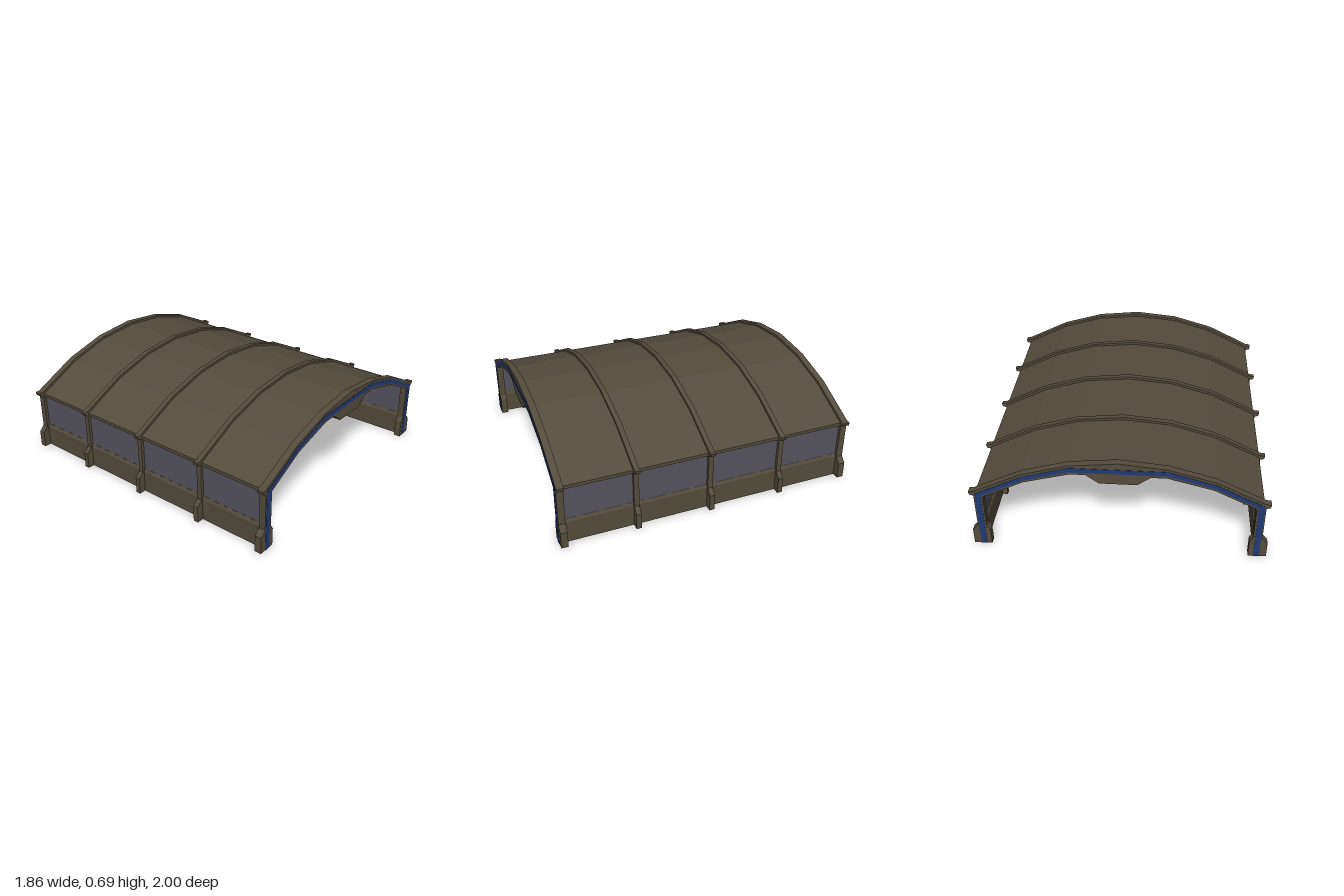
import * as THREE from 'three';

const paint = (color) => new THREE.MeshStandardMaterial({ color, flatShading: true });

// Closed outline from points; extruded along z between z0 and z1
function slab(name, points, z0, z1, material) {
  const shape = new THREE.Shape(points.map(([x, y]) => new THREE.Vector2(x, y)));
  const geometry = new THREE.ExtrudeGeometry(shape, { depth: z1 - z0, bevelEnabled: false });
  geometry.translate(0, 0, z0);
  const mesh = new THREE.Mesh(geometry, material);
  mesh.name = name;
  return mesh;
}

const flip = (points) => points.map(([x, y]) => [-x, y]);

// Symmetric arch band: both half profiles run from the ground to the crown
function arch(outer, inner) {
  return [
    ...outer, ...flip(outer).reverse(),
    ...flip(inner), ...[...inner].reverse(),
  ].filter(([x, y], i, all) => {
    const [px, py] = all[(i + all.length - 1) % all.length];
    return Math.abs(px - x) + Math.abs(py - y) > 1e-6;
  });
}

export function createModel() {
  const model = new THREE.Group();
  model.name = 'archedShelter';
  const metal = paint(0x544c3d);
  const glass = paint(0x55545e);
  const blue = paint(0x233a72);

  // Ribs with splayed feet, eave lips and a crown gusset
  const rib = arch(
    [[0.932, 0], [0.932, 0.11], [0.895, 0.148], [0.895, 0.395], [0.92, 0.402],
      [0.925, 0.424], [0.895, 0.427], [0.59, 0.577], [0.3, 0.66], [0, 0.69]],
    [[0.818, 0], [0.818, 0.12], [0.838, 0.148], [0.838, 0.388], [0.575, 0.52],
      [0.29, 0.597], [0.195, 0.597], [0.115, 0.537]],
  );
  const ribSpans = [[-0.998, -0.953], [-0.517, -0.483], [-0.017, 0.017], [0.483, 0.517], [0.953, 0.998]];
  ribSpans.forEach(([z0, z1]) => model.add(slab('rib', rib, z0, z1, metal)));

  // Blue strip following each end rib
  const strip = arch(
    [[0.888, 0], [0.888, 0.41], [0.59, 0.558], [0.3, 0.645]],
    [[0.85, 0], [0.85, 0.397], [0.58, 0.533], [0.295, 0.614]],
  );
  model.add(slab('frontStrip', strip, 0.99, 1, blue));
  model.add(slab('backStrip', strip, -1, -0.99, blue));

  // Faceted roof skin
  const roof = arch(
    [[0.887, 0.39], [0.887, 0.412], [0.588, 0.56], [0.298, 0.645], [0, 0.672]],
    [[0.852, 0.39], [0.58, 0.535], [0.293, 0.615]],
  );
  model.add(slab('roof', roof, -0.97, 0.97, metal));

  // Side walls: solid base with a sloped sill, and window panes between ribs
  const base = [[0.853, 0], [0.885, 0], [0.885, 0.147], [0.876, 0.167], [0.862, 0.167], [0.853, 0.147]];
  for (const side of [1, -1]) {
    const outline = side > 0 ? base : flip(base);
    model.add(slab(side > 0 ? 'leftBaseWall' : 'rightBaseWall', outline, -0.97, 0.97, metal));
    for (let i = 0; i < 4; i++) {
      const z0 = ribSpans[i][1], z1 = ribSpans[i + 1][0];
      const pane = new THREE.Mesh(new THREE.BoxGeometry(0.012, 0.24, z1 - z0 + 0.01), glass);
      pane.position.set(side * 0.869, 0.28, (z0 + z1) / 2);
      pane.name = 'windowPane';
      model.add(pane);
    }
  }
  return model;
}
